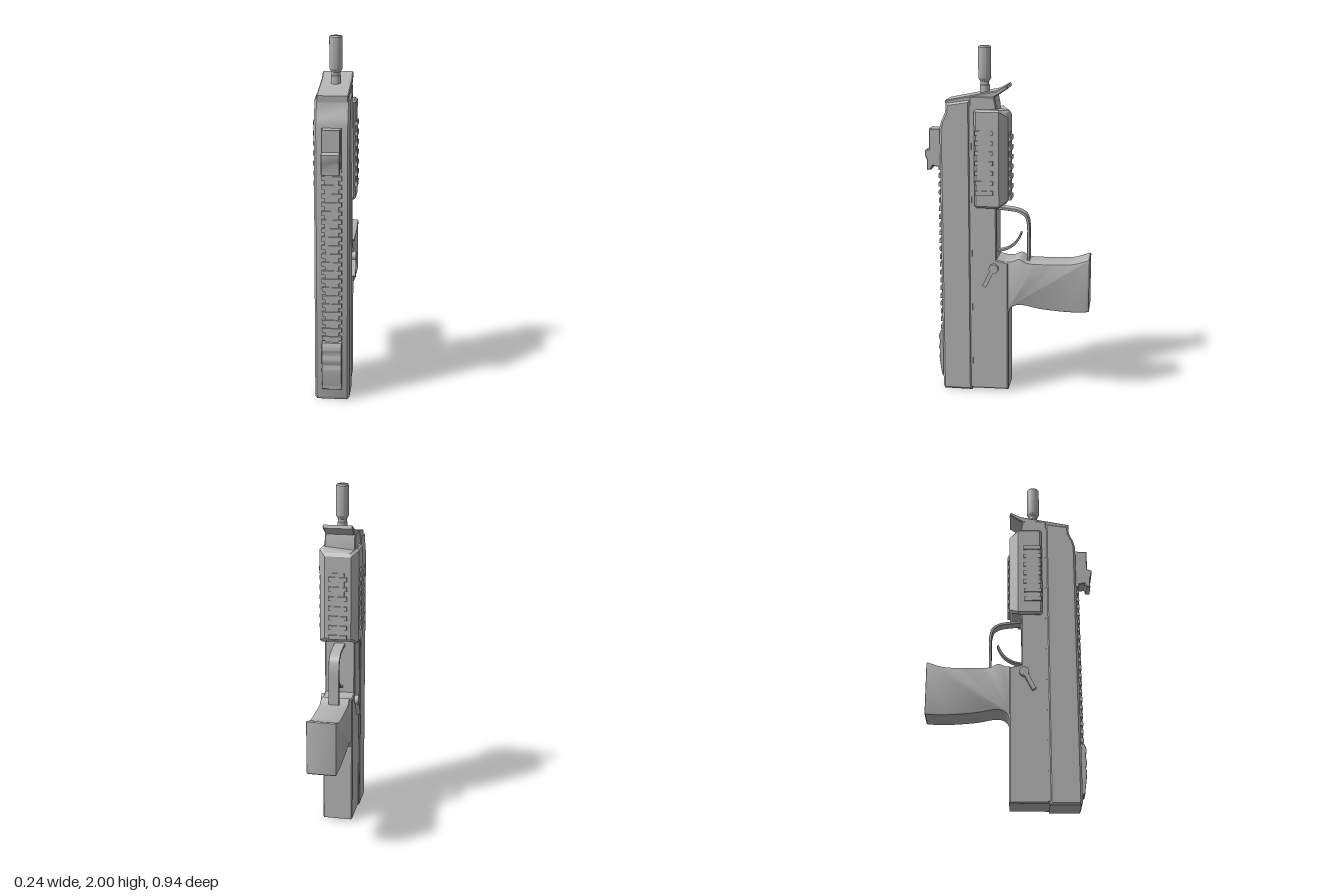
import * as THREE from 'three';
import { toCreasedNormals } from 'three/addons/utils/BufferGeometryUtils.js';

export function createModel() {
  const model = new THREE.Group();
  model.name = 'propModel';
  const grey = new THREE.MeshStandardMaterial({ color: 0xb4b4b4 });
  grey.name = 'plain grey';

  const add = (name, geometry, parent = model) => {
    const mesh = new THREE.Mesh(geometry, grey);
    mesh.name = name;
    parent.add(mesh);
    return mesh;
  };
  const box = (name, w, h, d, x, y, z, parent) => {
    const mesh = add(name, new THREE.BoxGeometry(w, h, d), parent);
    mesh.position.set(x, y, z);
    return mesh;
  };
  // Extrudes a [z, y] outline across x, with chamfers kept inside the outline
  const slab = (name, points, halfWidth, bevel = 0.005, segments = 1, parent) => {
    const shape = new THREE.Shape(points.map(([z, y]) => new THREE.Vector2(-z, y)));
    const geo = new THREE.ExtrudeGeometry(shape, {
      depth: 2 * (halfWidth - bevel), bevelEnabled: bevel > 0, bevelThickness: bevel,
      bevelSize: bevel, bevelOffset: -bevel, bevelSegments: segments,
    });
    geo.translate(0, 0, -(halfWidth - bevel)).rotateY(Math.PI / 2);
    return add(name, toCreasedNormals(geo, 0.55), parent);
  };
  const smooth = (points, n) => new THREE.CatmullRomCurve3(
    points.map(([z, y]) => new THREE.Vector3(z, y, 0)), false, 'centripetal'
  ).getPoints(n).map((p) => [p.x, p.y]);
  // Bent strip of constant thickness that follows a [z, y] path
  const strip = (name, path, thickness, halfWidth) => {
    const side = (s) => path.map(([z, y], i) => {
      const a = path[Math.max(i - 1, 0)], b = path[Math.min(i + 1, path.length - 1)];
      const dz = b[0] - a[0], dy = b[1] - a[1], l = Math.hypot(dz, dy);
      return [z - s * dy / l * thickness / 2, y + s * dz / l * thickness / 2];
    });
    return slab(name, [...side(1), ...side(-1).reverse()], halfWidth, 0.002);
  };

  // Long front housing and the narrower rear housing
  slab('frontHousing', [[0.205, 0], [0.37, 0], [0.378, 0.02], [0.378, 1.55], [0.368, 1.59],
    [0.345, 1.64], [0.34, 1.69], [0.205, 1.71]], 0.096, 0.012);
  slab('rearHousing', [[0.21, 0.01], [-0.008, 0.012], [-0.008, 0.785], [0.06, 0.8],
    [0.06, 1.68], [0.07, 1.73], [0.21, 1.73]], 0.088, 0.006);
  box('seam', 0.18, 1.66, 0.012, 0, 0.85, 0.205);

  // Sloped end cap with an overhanging lip
  slab('endCap', [[0.342, 1.67], [0.345, 1.705], [0.06, 1.762], [0, 1.793], [-0.006, 1.775],
    [0.05, 1.737], [0.075, 1.725], [0.2, 1.69]], 0.085, 0.005);

  // Hollow barrel
  const barrel = new THREE.LatheGeometry([[0.028, 1.7], [0.028, 1.785], [0.024, 1.79],
    [0.024, 1.805], [0.031, 1.815], [0.036, 1.825], [0.036, 1.992], [0.03, 2], [0.017, 2],
    [0.017, 1.88], [0, 1.88]].map(([r, y]) => new THREE.Vector2(r, y)), 24);
  add('barrel', toCreasedNormals(barrel, 0.5)).position.z = 0.135;

  // Faceted guard; its rear corners are cut at the top and bottom
  const guard = new THREE.Group();
  guard.name = 'guard';
  model.add(guard);
  const section = [[0.1, 0.182], [0.112, 0.17], [0.112, 0.042], [0.075, -0.006]];
  const outline = [...section, ...section.map(([x, z]) => [-x, z]).reverse()];
  const guardGeo = new THREE.ExtrudeGeometry(
    new THREE.Shape(outline.map(([x, z]) => new THREE.Vector2(x, -z))),
    { depth: 0.53, bevelThickness: 0.012, bevelSize: 0.012, bevelOffset: -0.012, bevelSegments: 1 });
  guardGeo.rotateX(-Math.PI / 2).translate(0, 1.117, 0);
  const pos = guardGeo.attributes.position;
  for (let i = 0; i < pos.count; i++) {
    const rear = Math.max(0, 0.042 - pos.getZ(i)) / 0.048;
    pos.setY(i, pos.getY(i) - Math.sign(pos.getY(i) - 1.38) * 0.03 * rear);
  }
  add('guardShell', toCreasedNormals(guardGeo, 0.3), guard);

  // Short toothed rails on both sides and the rear of the guard
  for (const s of [-1, 1]) {
    box('sideRail', 0.012, 0.36, 0.07, s * 0.112, 1.365, 0.125, guard);
    for (let i = 0; i < 7; i++) {
      box('sideRailTooth', 0.02, 0.024, 0.1, s * 0.112, 1.195 + i * 0.056, 0.125, guard);
    }
  }
  box('rearRail', 0.075, 0.36, 0.012, 0, 1.345, -0.006, guard);
  for (let i = 0; i < 7; i++) {
    box('rearRailTooth', 0.106, 0.024, 0.02, 0, 1.155 + i * 0.056, -0.009, guard);
  }

  // Long toothed rail along the front
  box('frontRail', 0.075, 1.27, 0.014, 0, 0.7, 0.381);
  for (let i = 0; i < 27; i++) {
    box('frontRailTooth', 0.108, 0.024, 0.02, 0, 0.085 + i * 0.0475, 0.385);
  }

  // Wavy cover at the lower end of the rail
  const wave = smooth([[0.392, 0.07], [0.4, 0.12], [0.407, 0.19], [0.402, 0.215],
    [0.409, 0.24], [0.403, 0.28], [0.409, 0.31], [0.398, 0.345]], 28);
  slab('railCover', [[0.376, 0.06], ...wave, [0.376, 0.35]], 0.055, 0.002);

  // Stepped sight block
  slab('sightBlock', [[0.375, 1.32], [0.43, 1.33], [0.438, 1.308], [0.462, 1.305],
    [0.462, 1.365], [0.47, 1.38], [0.473, 1.415], [0.447, 1.425], [0.447, 1.54],
    [0.385, 1.54], [0.375, 1.53]], 0.05, 0.004);
  box('sightMount', 0.11, 0.22, 0.02, 0, 1.43, 0.383);

  // Curved grip
  const gripTop = smooth([[0.02, 0.79], [-0.03, 0.795], [-0.07, 0.81], [-0.115, 0.788],
    [-0.22, 0.784], [-0.37, 0.79], [-0.425, 0.805], [-0.465, 0.82]], 28);
  const gripBottom = smooth([[-0.465, 0.508], [-0.4, 0.503], [-0.29, 0.506], [-0.17, 0.518],
    [-0.1, 0.532], [-0.05, 0.53], [-0.02, 0.51], [-0.007, 0.485], [0.02, 0.47]], 28);
  slab('grip', [...gripTop, [-0.47, 0.815], [-0.47, 0.513], ...gripBottom], 0.083, 0.008, 2);

  // Guard loop and curved lever inside it
  strip('fingerLoop', smooth([[0.07, 1.092], [0, 1.085], [-0.06, 1.075], [-0.098, 1.052],
    [-0.114, 1.005], [-0.116, 0.9], [-0.116, 0.78]], 30), 0.015, 0.031);
  strip('fingerLever', smooth([[0.07, 0.835], [0.02, 0.845], [-0.03, 0.875], [-0.06, 0.915],
    [-0.074, 0.948]], 16), 0.012, 0.02);

  // Small pivoting switch on each side
  for (const s of [-1, 1]) {
    const pivot = add('switchPivot', new THREE.CylinderGeometry(0.027, 0.027, 0.026, 18));
    pivot.rotation.z = Math.PI / 2;
    pivot.position.set(s * 0.097, 0.752, 0.075);
    const arm = box('switchArm', 0.022, 0.11, 0.024, s * 0.1, 0.695, 0.105);
    arm.rotation.x = -0.46;
  }
  return model;
}
